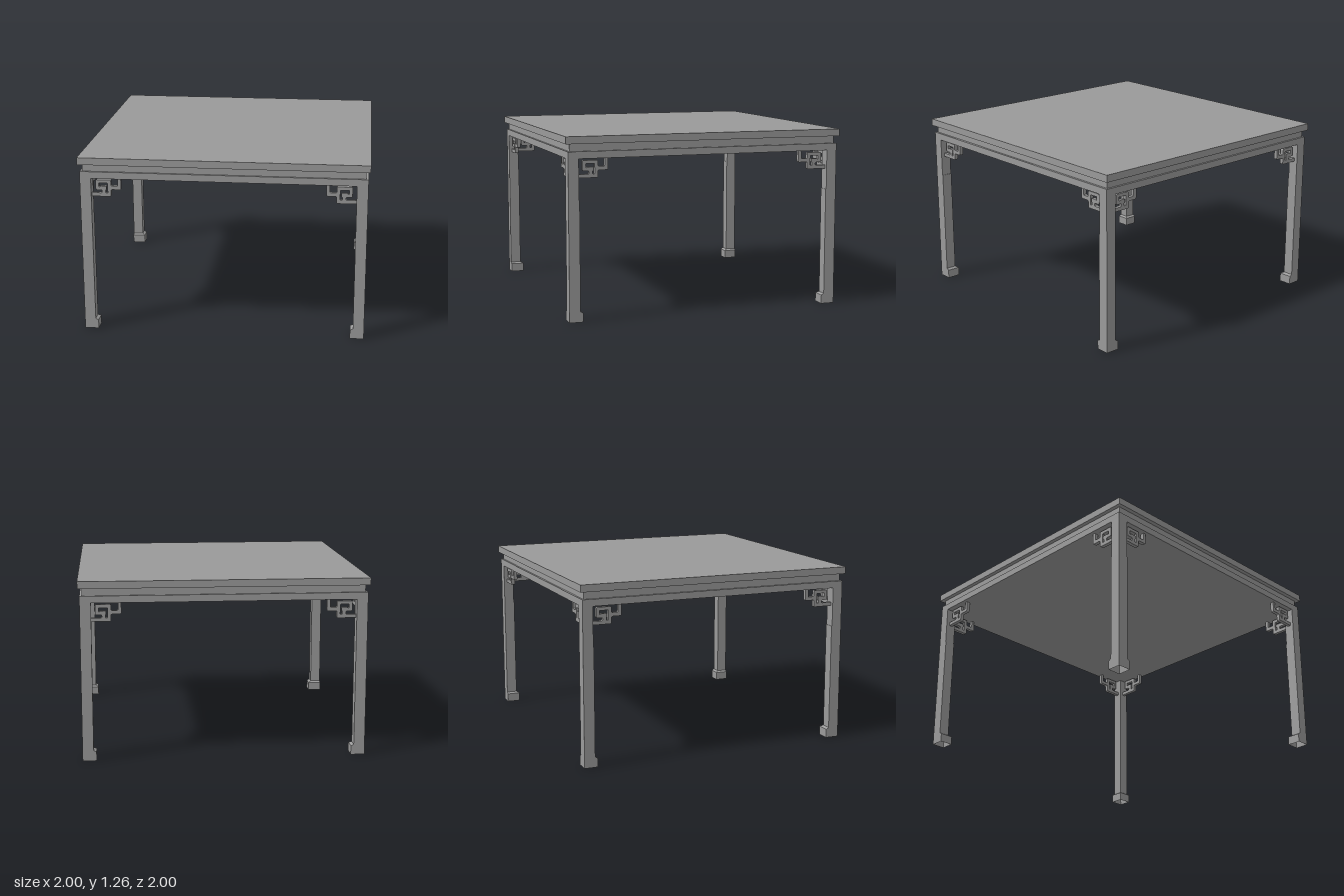
import * as THREE from 'three';

const material = new THREE.MeshStandardMaterial({ color: 0x9a9a9a, flatShading: true });
const openMaterial = material.clone();
openMaterial.side = THREE.DoubleSide;

const OUT_X = 0.987, OUT_Z = 0.981, LEG_IN = 0.91;
const APRON_BOTTOM = 1.108, BRACKET_DEPTH = 0.026;

function mesh(name, geometry, mat = material) {
  const m = new THREE.Mesh(geometry, mat);
  m.name = name;
  return m;
}

// Centred slab with half sizes hx, hz spanning lo..hi in y
function slab(name, hx, hz, lo, hi) {
  return mesh(name, new THREE.BoxGeometry(hx * 2, hi - lo, hz * 2).translate(0, (lo + hi) / 2, 0));
}

// Hollow leg and hoof foot, open underneath: rectangular rings of [y, inner x, inner z]
function legGeometry(sx, sz) {
  const rings = [
    [0, 0.89, 0.885], [0.062, 0.89, 0.885], [0.073, LEG_IN, 0.904],
    [0.83, LEG_IN, 0.904], [0.83, LEG_IN, 0.908], [APRON_BOTTOM, LEG_IN, 0.908],
  ].map(([y, ix, iz]) => {
    const ring = [[ix, iz], [ix, OUT_Z], [OUT_X, OUT_Z], [OUT_X, iz]]
      .map(([x, z]) => [x * sx, y, z * sz]);
    return sx * sz < 0 ? ring.reverse() : ring;
  });
  const positions = [];
  for (let r = 0; r < rings.length - 1; r++) {
    for (let i = 0; i < 4; i++) {
      const j = (i + 1) % 4;
      const a = rings[r][i], b = rings[r][j], c = rings[r + 1][j], d = rings[r + 1][i];
      positions.push(...a, ...b, ...c, ...a, ...c, ...d);
    }
  }
  const geometry = new THREE.BufferGeometry();
  geometry.setAttribute('position', new THREE.Float32BufferAttribute(positions, 3));
  geometry.computeVertexNormals();
  return geometry;
}

// Closed polygon with softened corners; u runs inward from the leg face at `start`
function soften(path, points, r, side, start) {
  const p = points.map(([u, y]) => new THREE.Vector2(side * (start - u), y));
  p.forEach((b, i) => {
    const a = p[(i + p.length - 1) % p.length], c = p[(i + 1) % p.length];
    const toward = (q) => b.clone().add(q.clone().sub(b).setLength(Math.min(r, b.distanceTo(q) * 0.45)));
    const from = toward(a), to = toward(c);
    if (i === 0) path.moveTo(from.x, from.y);
    else path.lineTo(from.x, from.y);
    path.quadraticCurveTo(b.x, b.y, to.x, to.y);
  });
  path.closePath();
  return path;
}

// Fretwork bracket: scroll loop, foot bar into the leg, hooked arm to the apron
function bracketGeometry(side, start, z) {
  const shape = soften(new THREE.Shape(), [
    [-0.015, 0.976], [0.135, 0.976], [0.135, 1.026], [0.205, 1.026], [0.205, APRON_BOTTOM],
    [0.182, APRON_BOTTOM], [0.182, 1.051], [0.135, 1.051], [0.135, 1.094],
    [0.028, 1.094], [0.028, 1.022], [0.073, 1.022], [0.073, 1.001], [-0.015, 1.001],
  ], 0.009, side, start);
  shape.holes.push(soften(new THREE.Path(), [
    [0.05, 1.071], [0.112, 1.071], [0.112, 1.001], [0.097, 1.001], [0.097, 1.022],
    [0.103, 1.026], [0.103, 1.049], [0.059, 1.049], [0.059, 1.044], [0.05, 1.044],
  ], 0.004, side, start));
  return new THREE.ExtrudeGeometry(shape, { depth: BRACKET_DEPTH, bevelEnabled: false, curveSegments: 3 })
    .translate(0, 0, z - BRACKET_DEPTH / 2);
}

// Leg with a bracket on each inner side, in the corner given by the signs
function createCorner(name, sx, sz) {
  const corner = new THREE.Group();
  corner.name = name;
  const midX = sx * (OUT_X + LEG_IN) / 2, midZ = sz * (OUT_Z + LEG_IN) / 2;
  corner.add(mesh('leg', legGeometry(sx, sz), openMaterial));
  corner.add(mesh('bracketAlongX', bracketGeometry(sx, LEG_IN, midZ)));
  corner.add(mesh('bracketAlongZ', bracketGeometry(sz, 0.903, -midX).rotateY(-Math.PI / 2)));
  return corner;
}

export function createModel() {
  const table = new THREE.Group();
  table.name = 'squareTable';

  // Top board, recessed waist and apron
  table.add(slab('tableTop', 1, 0.998, 1.208, 1.258));
  table.add(slab('waist', 0.97, 0.967, 1.156, 1.208));
  table.add(slab('apron', OUT_X, OUT_Z, APRON_BOTTOM, 1.156));

  // Four mirrored corners
  for (const [frontBack, sz] of [['front', 1], ['back', -1]]) {
    for (const [leftRight, sx] of [['Left', 1], ['Right', -1]]) {
      table.add(createCorner(frontBack + leftRight + 'Leg', sx, sz));
    }
  }
  return table;
}
